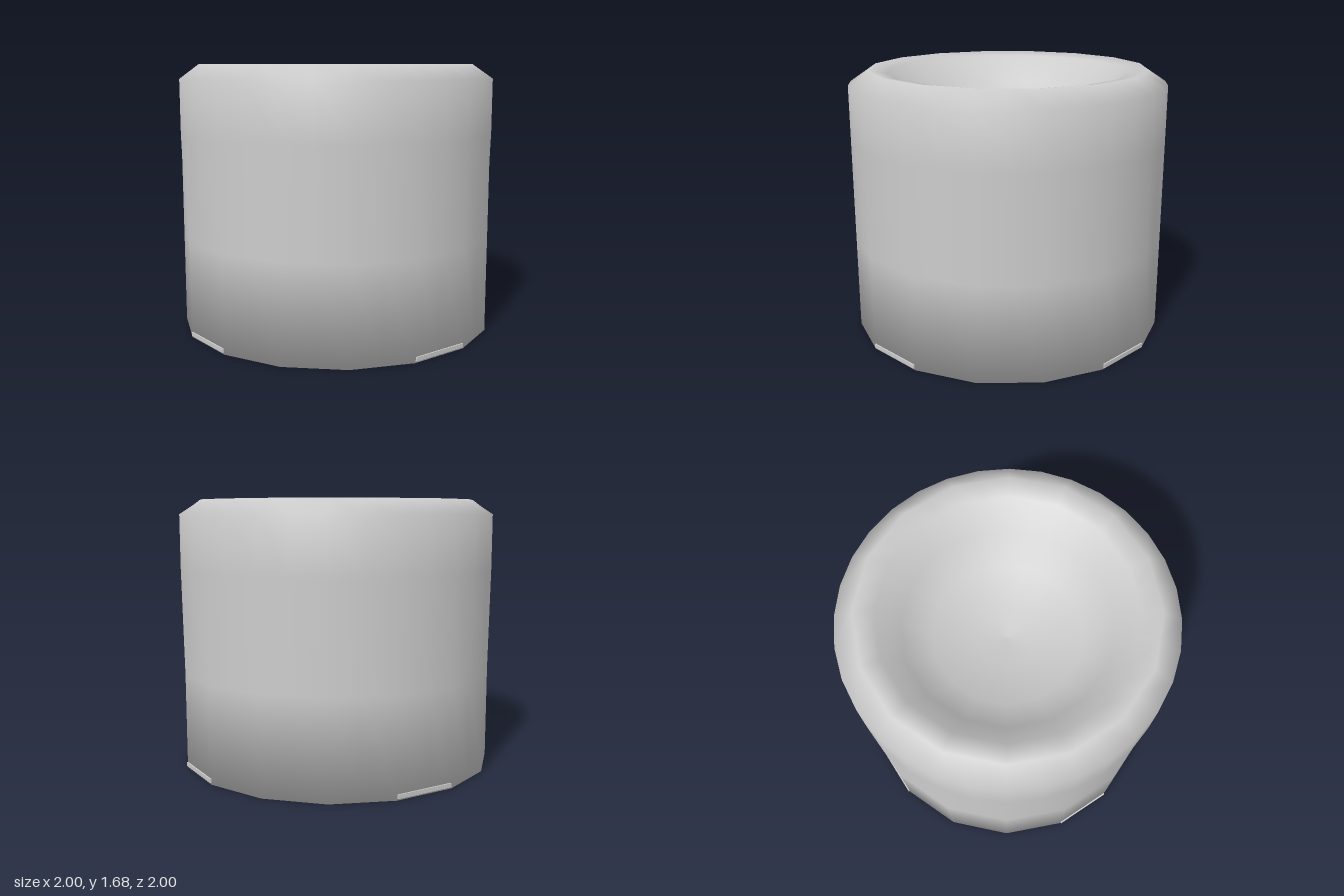
import * as THREE from 'three';

const SEGMENTS = 32;

// Bottom, wall, bevelled rim and shallow bowl as one turned profile.
const PROFILE = [
  [0, 0], [1, 0], [1, 0.6], [1, 1.25], [1, 1.59],
  [0.88, 1.68], [0.76, 1.66], [0.63, 1.5], [0.455, 1.37], [0.18, 1.3], [0, 1.28],
];

function material() {
  return new THREE.MeshStandardMaterial({ color: 0xcccccc });
}

// The base and rim have sixteen sides; only the upper wall is rounder.
function createBody() {
  const points = PROFILE.map(([x, y]) => new THREE.Vector2(x, y));
  const geometry = new THREE.LatheGeometry(points, SEGMENTS);
  const position = geometry.attributes.position;
  const flatFactor = Math.cos(Math.PI / 16);
  for (let i = 0; i < position.count; i++) {
    const column = Math.floor(i / PROFILE.length);
    const ring = i % PROFILE.length;
    const isRound = ring === 3 || ring === 4;
    if (column % 2 === 0 || isRound) continue;
    position.setX(i, position.getX(i) * flatFactor);
    position.setZ(i, position.getZ(i) * flatFactor);
  }
  const body = new THREE.Mesh(geometry, material());
  body.name = 'body';
  return body;
}

// Thin slivers of the feet showing at the bottom of four wall facets.
function createFeet() {
  const feet = new THREE.Group();
  feet.name = 'feet';
  const geometry = new THREE.BoxGeometry(0.38, 0.025, 0.03);
  for (let i = 0; i < 4; i++) {
    const angle = THREE.MathUtils.degToRad(33.75) + (i * Math.PI) / 2;
    const foot = new THREE.Mesh(geometry, material());
    foot.name = 'foot';
    foot.position.set(Math.sin(angle) * 0.974, 0.023, Math.cos(angle) * 0.974);
    foot.rotation.y = angle;
    feet.add(foot);
  }
  return feet;
}

export function createModel() {
  const model = new THREE.Group();
  model.name = 'roundPot';
  model.add(createBody(), createFeet());
  return model;
}
